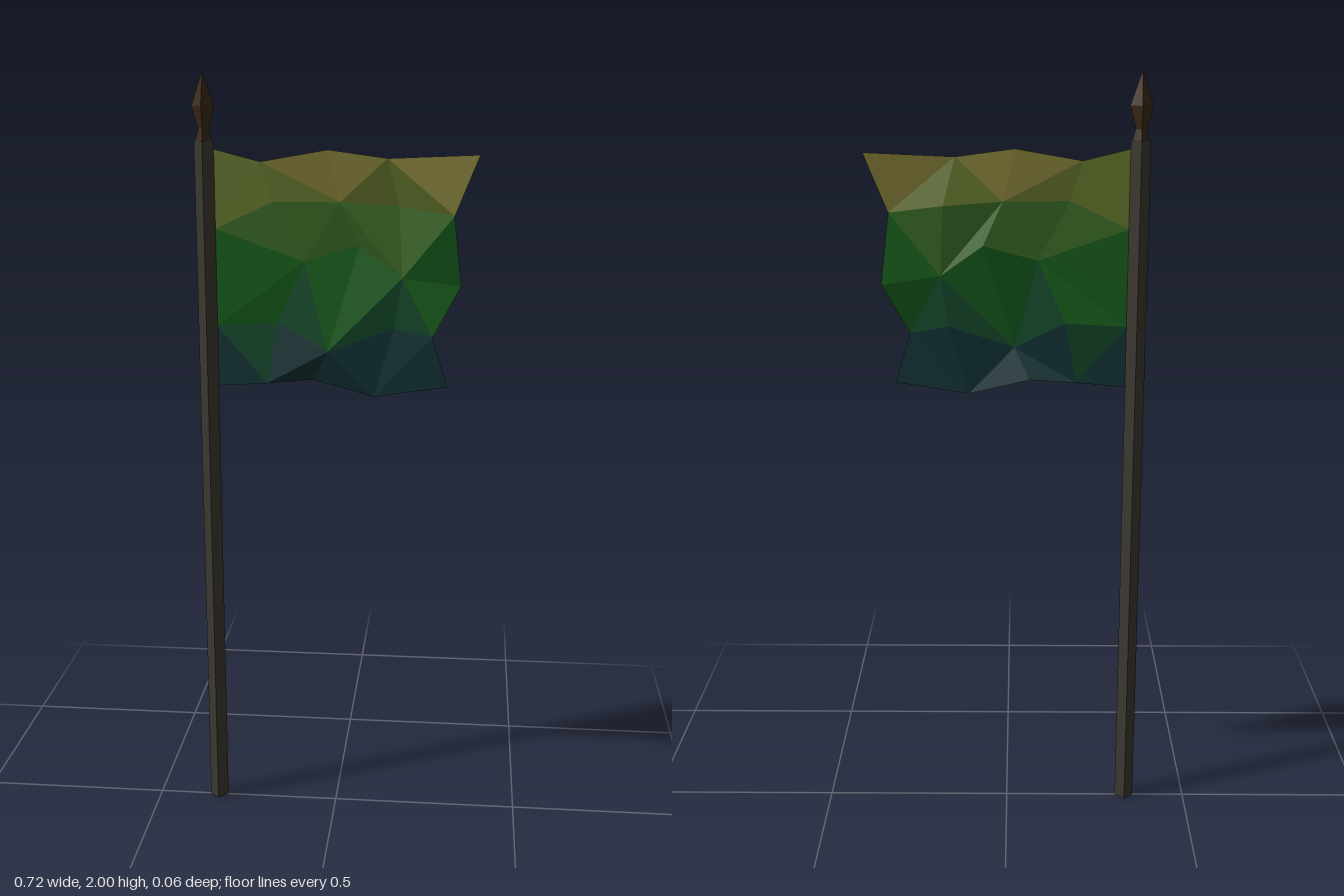
import * as THREE from 'three';

const POLE_X = -0.333;

function flat(color, side = THREE.FrontSide) {
  return new THREE.MeshStandardMaterial({ color, flatShading: true, side });
}

// Cloth control grid: rows from top to bottom, columns from pole to free edge
const CLOTH = [
  [[-0.31, 1.81, 0], [-0.19, 1.78, 0.006], [-0.02, 1.81, 0], [0.13, 1.79, 0.002], [0.36, 1.80, 0.003]],
  [[-0.31, 1.61, 0], [-0.16, 1.68, 0.007], [0.01, 1.68, -0.005], [0.16, 1.67, -0.015], [0.30, 1.65, 0.012]],
  [[-0.31, 1.45, 0], [-0.08, 1.53, 0.003], [0.06, 1.57, -0.015], [0.17, 1.49, 0.004], [0.32, 1.47, -0.012]],
  [[-0.31, 1.36, 0], [-0.15, 1.37, -0.008], [-0.02, 1.30, 0.022], [0.15, 1.36, 0], [0.25, 1.34, 0.012]],
  [[-0.31, 1.20, 0], [-0.18, 1.21, 0.004], [-0.06, 1.22, -0.007], [0.10, 1.18, 0.004], [0.29, 1.21, 0.006]],
];

// Colour bands: lowest triangle centre height and dye colour
const BANDS = [
  ['flagGoldBand', 1.735, 0x85803a],
  ['flagOliveBand', 1.655, 0x63742c],
  ['flagLeafBand', 1.56, 0x3a6a26],
  ['flagGreenBand', 1.41, 0x17601c],
  ['flagTealBand', 1.31, 0x154a2c],
  ['flagNavyBand', -Infinity, 0x133438],
];

function createFlag() {
  const flag = new THREE.Group();
  flag.name = 'flag';
  const points = BANDS.map(() => []);
  const addTriangle = (...corners) => {
    const height = corners.reduce((sum, p) => sum + p[1], 0) / 3;
    points[BANDS.findIndex((band) => height >= band[1])].push(...corners.flat());
  };

  // Alternating diagonals give the crumpled, faceted cloth
  for (let r = 0; r < 4; r++) {
    for (let c = 0; c < 4; c++) {
      const a = CLOTH[r][c], b = CLOTH[r][c + 1];
      const d = CLOTH[r + 1][c], e = CLOTH[r + 1][c + 1];
      if ((r + c) % 2) {
        addTriangle(a, d, e);
        addTriangle(a, e, b);
      } else {
        addTriangle(a, d, b);
        addTriangle(b, d, e);
      }
    }
  }

  BANDS.forEach(([name, , color], i) => {
    if (!points[i].length) return;
    const geometry = new THREE.BufferGeometry();
    geometry.setAttribute('position', new THREE.Float32BufferAttribute(points[i], 3));
    geometry.computeVertexNormals();
    const mesh = new THREE.Mesh(geometry, flat(color, THREE.DoubleSide));
    mesh.name = name;
    flag.add(mesh);
  });
  return flag;
}

export function createModel() {
  const model = new THREE.Group();
  model.name = 'flagOnPole';

  // Square pole turned corner-on
  const pole = new THREE.Mesh(new THREE.CylinderGeometry(0.025, 0.025, 1.83, 4), flat(0x3c3930));
  pole.name = 'pole';
  pole.position.set(POLE_X, 0.915, 0);
  model.add(pole);

  // Four-sided spear tip with a pinched neck
  const profile = [[0.022, 1.83], [0.014, 1.858], [0.029, 1.915], [0, 2]]
    .map(([r, y]) => new THREE.Vector2(r, y));
  const finial = new THREE.Mesh(new THREE.LatheGeometry(profile, 4), flat(0x3a2918));
  finial.name = 'finial';
  finial.position.x = POLE_X;
  model.add(finial);

  model.add(createFlag());
  return model;
}
